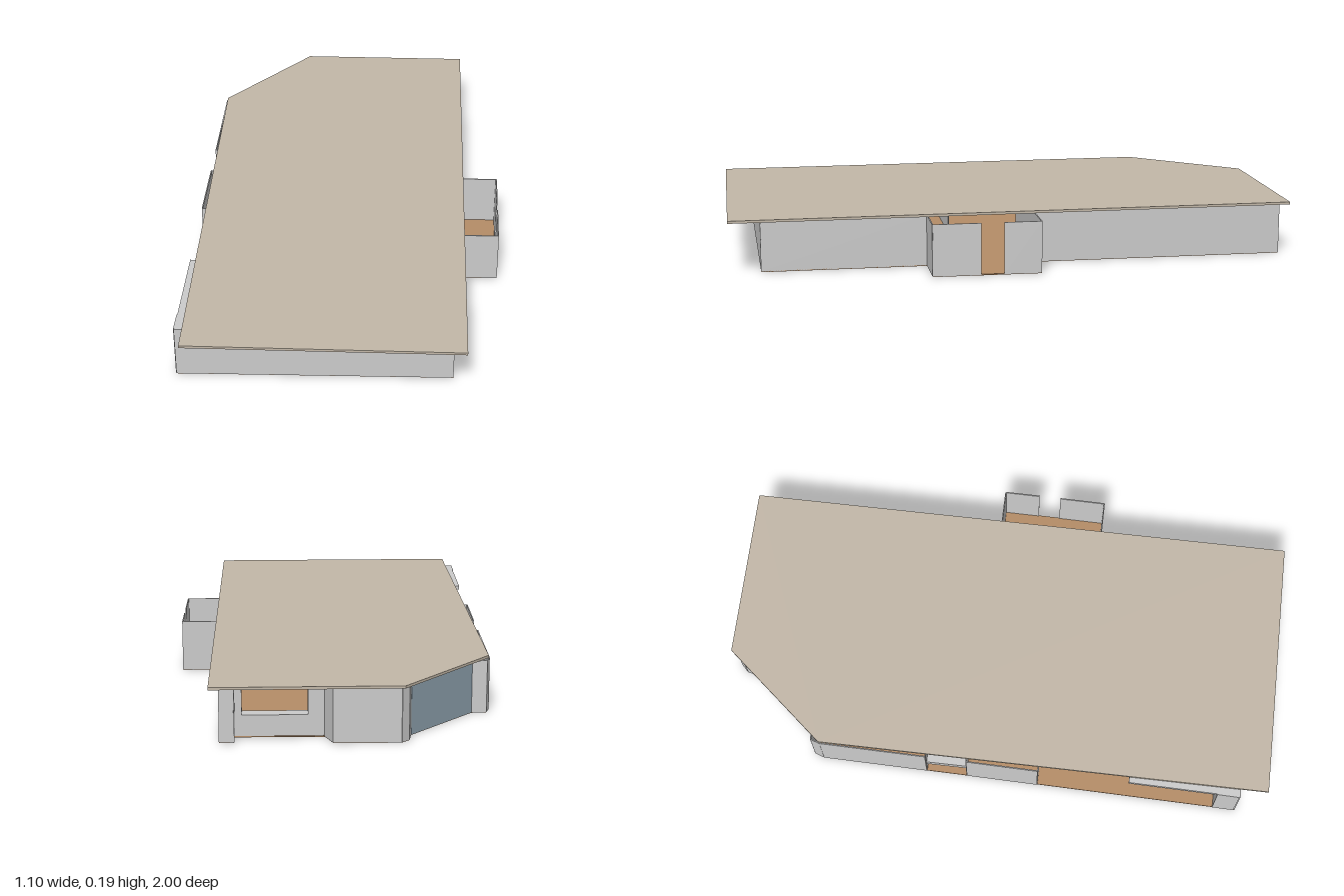
import * as THREE from 'three';

const grey = new THREE.MeshStandardMaterial({ color: 0xcccccc });
const roofTone = new THREE.MeshStandardMaterial({ color: 0xc3b8a8 });
const wood = new THREE.MeshStandardMaterial({ color: 0xb58d67 });
const glass = new THREE.MeshStandardMaterial({ color: 0x8fa3b0 });
const H = 0.185;   // wall height
const BASE = 0.002;

// horizontal slab from an outline of [x, z] points
function slab(name, outline, top, thickness, material) {
  const shape = new THREE.Shape(outline.map(([x, z]) => new THREE.Vector2(x, z)));
  const geo = new THREE.ExtrudeGeometry(shape, { depth: thickness, bevelEnabled: false });
  geo.rotateX(Math.PI / 2).translate(0, top, 0);
  const mesh = new THREE.Mesh(geo, material);
  mesh.name = name;
  return mesh;
}

// upright panel between two [x, z] points
function panel(name, a, b, y0 = BASE, y1 = H, material = grey, t = 0.004) {
  const dx = b[0] - a[0], dz = b[1] - a[1];
  const mesh = new THREE.Mesh(new THREE.BoxGeometry(Math.hypot(dx, dz), y1 - y0, t), material);
  mesh.position.set((a[0] + b[0]) / 2, (y0 + y1) / 2, (a[1] + b[1]) / 2);
  mesh.rotation.y = -Math.atan2(dz, dx);
  mesh.name = name;
  return mesh;
}

// panels joining a run of points
function run(name, points) {
  const group = new THREE.Group();
  group.name = name;
  for (let i = 1; i < points.length; i++) group.add(panel(name + i, points[i - 1], points[i]));
  return group;
}

export function createModel() {
  const model = new THREE.Group();

  // roof with one cut corner
  model.add(slab('roof', [[-0.52, 1], [0.42, 1], [0.42, -1], [-0.21, -1], [-0.52, -0.63]], 0.194, 0.009, roofTone));

  // floor follows the outer walls
  model.add(slab('floor', [
    [-0.548, 0.9], [0.38, 0.887], [0.382, 0.31], [0.54, 0.308], [0.545, -0.072], [0.384, -0.07],
    [0.387, -0.97], [0.34, -0.972], [0.34, -0.91], [0.045, -0.915], [0.02, -0.982], [-0.2, -0.985],
    [-0.225, -0.96], [-0.235, -0.905], [-0.46, -0.66], [-0.51, -0.66], [-0.523, -0.62], [-0.535, 0.17],
  ], 0.004, 0.004, wood));

  // long side and front walls, open towards the porch
  model.add(run('frontWall', [[-0.548, 0.9], [0.378, 0.887], [0.38, 0.31]]));
  model.add(run('rightRearWall', [[0.383, -0.07], [0.386, -0.97], [0.34, -0.972], [0.34, -0.91]]));

  // open-topped entrance porch with a door gap
  model.add(run('porchFront', [[0.38, 0.308], [0.54, 0.308], [0.542, 0.14]]));
  model.add(run('porchBack', [[0.543, 0.06], [0.544, -0.07], [0.384, -0.07]]));

  // rear window in a deep recessed frame
  const rearWindow = new THREE.Group();
  rearWindow.name = 'rearWindow';
  const z0 = -0.91;
  const thick = 0.05;
  const zMid = z0 + thick / 2;
  rearWindow.add(
    panel('sill', [0.04, zMid], [0.34, zMid], BASE, 0.075, grey, thick),
    panel('head', [0.04, zMid], [0.34, zMid], 0.165, H, grey, thick),
    panel('leftJamb', [0.04, zMid], [0.1, zMid], 0.075, 0.165, grey, thick),
    panel('rightJamb', [0.315, zMid], [0.34, zMid], 0.075, 0.165, grey, thick),
  );
  model.add(rearWindow);

  // rear wall and glazed corner between two piers
  model.add(run('rearWall', [[0.045, -0.912], [0.02, -0.982], [-0.2, -0.985], [-0.225, -0.96], [-0.235, -0.9]]));
  model.add(panel('cornerGlass', [-0.235, -0.905], [-0.46, -0.66], BASE, H, glass));
  model.add(run('cornerPier', [[-0.46, -0.66], [-0.51, -0.66], [-0.522, -0.625], [-0.528, -0.24], [-0.49, -0.24]]));

  // small side window, glazed above its bar
  model.add(panel('sideWindowGlass', [-0.49, -0.24], [-0.49, -0.09], 0.095, H, glass));
  model.add(panel('sideWindowBar', [-0.505, -0.24], [-0.505, -0.09], 0.07, 0.095, grey, 0.035));
  model.add(run('leftWall', [[-0.49, -0.09], [-0.53, -0.09], [-0.535, 0.17], [-0.5, 0.17]]));

  // open terrace: end pier, header and threshold
  model.add(panel('terracePier', [-0.523, 0.82], [-0.525, 0.898], BASE, H, grey, 0.05));
  model.add(panel('terraceHeader', [-0.515, 0.5], [-0.522, 0.9], 0.17, H, grey, 0.05));

  // inner partitions
  model.add(panel('hallRearPartition', [0.384, -0.07], [0.02, -0.07]));
  model.add(panel('hallSidePartition', [0.02, -0.07], [0.02, -0.9]));
  model.add(panel('terracePartition', [-0.5, 0.17], [-0.1, 0.17]));
  model.add(panel('hallFrontPartition', [0.38, 0.31], [0.12, 0.31]));

  return model;
}
